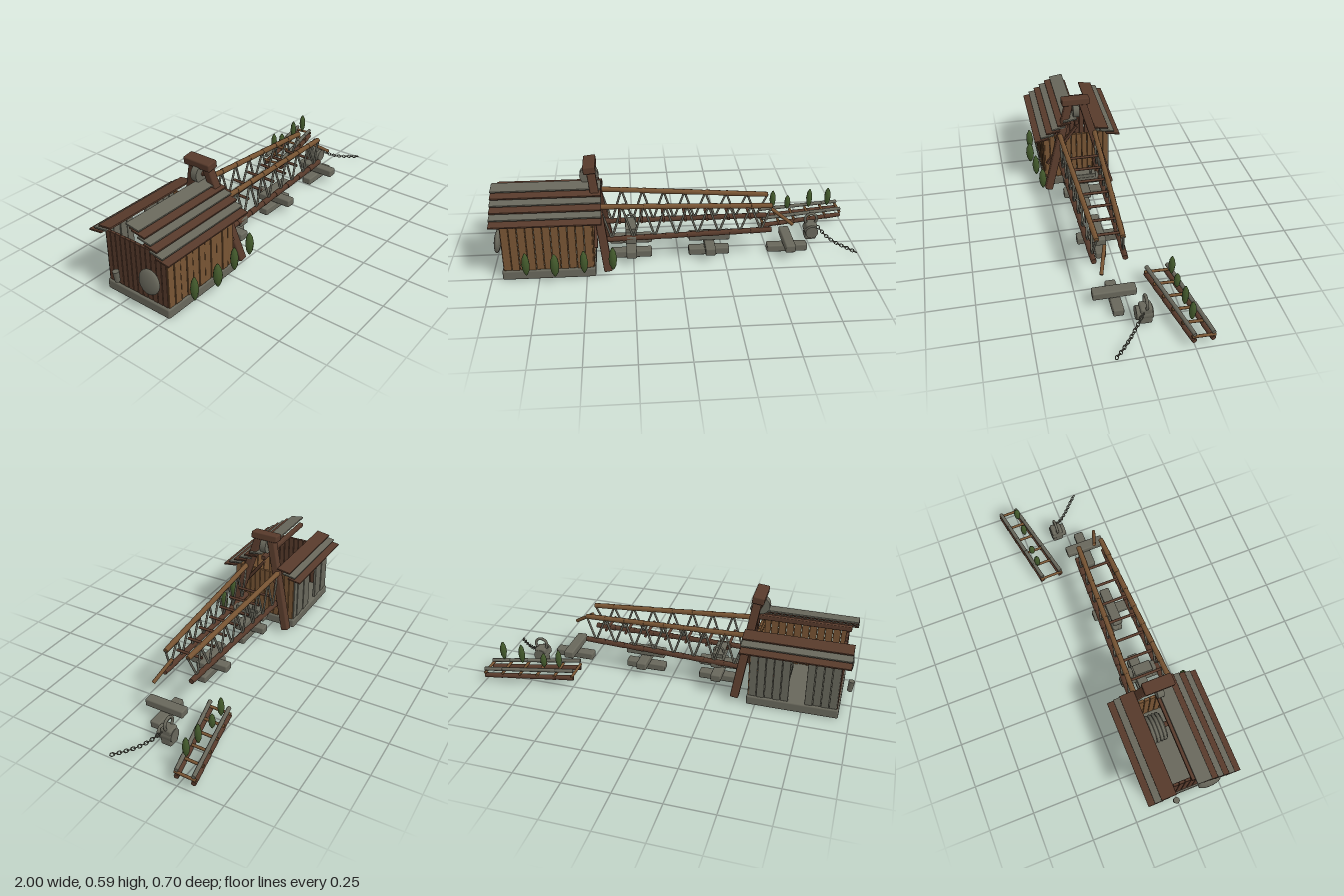
import * as THREE from 'three';
import { RoundedBoxGeometry } from 'three/addons/geometries/RoundedBoxGeometry.js';

const mat = (name, color) => {
  const m = new THREE.MeshStandardMaterial({ color });
  m.name = name;
  return m;
};

export function createModel() {
  const root = new THREE.Group();
  root.name = 'ruinedCrane';
  const wood = mat('wood', 0x775433);
  const darkWood = mat('darkWood', 0x573a2b);
  const stone = mat('weatheredGrey', 0x68675b);
  const leaf = mat('leafGreen', 0x435a2c);
  const V = (x, y, z) => new THREE.Vector3(x, y, z);
  const UP = V(0, 1, 0);

  const group = (name) => {
    const g = new THREE.Group();
    g.name = name;
    root.add(g);
    return g;
  };
  const add = (parent, name, geo, m, x = 0, y = 0, z = 0) => {
    const mesh = new THREE.Mesh(geo, m);
    mesh.name = name;
    mesh.position.set(x, y, z);
    parent.add(mesh);
    return mesh;
  };
  const box = (parent, name, m, w, h, d, x, y, z) =>
    add(parent, name, new RoundedBoxGeometry(w, h, d, 2, Math.min(w, h, d) * 0.18), m, x, y, z);
  // Aims a part that was built along y from one point to another
  const aim = (mesh, a, b) => {
    mesh.position.copy(a).lerp(b, 0.5);
    mesh.quaternion.setFromUnitVectors(UP, b.clone().sub(a).normalize());
    return mesh;
  };
  const rod = (parent, name, m, a, b, r, r2 = r) =>
    aim(add(parent, name, new THREE.CylinderGeometry(r2, r, a.distanceTo(b), 8), m), a, b);
  const beam = (parent, name, m, a, b, w, d) =>
    aim(box(parent, name, m, w, a.distanceTo(b), d, 0, 0, 0), a, b);
  // Log made of slightly stepped lengths
  const log = (parent, name, m, a, b, r, n) => {
    for (let i = 0; i < n; i++) {
      const p = a.clone().lerp(b, i / n), q = a.clone().lerp(b, (i + 1) / n);
      rod(parent, name, m, p, q, r * 1.06, r * 0.92);
    }
  };

  // Hut: slab and plank walls
  const hut = group('hut');
  box(hut, 'foundation', stone, 0.49, 0.055, 0.405, -0.697, 0.032, 0.0625);
  const wallY = (i) => 0.203 + (i % 3) * 0.0008;
  for (let i = 0; i < 11; i++) {
    const x = -0.911 + i * 0.0428;
    box(hut, 'frontPlank', wood, 0.0405, 0.285, 0.016, x, wallY(i), 0.253 + (i % 2) * 0.003);
    if (i !== 4 && i !== 5)
      box(hut, 'backPlank', stone, 0.0405, 0.285, 0.016, x, wallY(i), -0.126 - (i % 2) * 0.003);
  }
  for (let i = 0; i < 12; i++) {
    const z = -0.113 + i * 0.032;
    box(hut, 'rightPlank', wood, 0.016, 0.285, 0.03, -0.465, wallY(i), z);
    box(hut, 'leftPlank', darkWood, 0.016, 0.285, 0.03, -0.927, wallY(i), z);
  }

  // Roof: stepped boards, upper back ones missing
  const roof = group('roof');
  const board = (i, side) => {
    const z = 0.063 + side * (0.2115 - i * 0.034);
    const b = box(roof, 'roofBoard', i % 2 ? stone : darkWood, 0.57, 0.009, 0.081,
      -0.695, 0.352 + i * 0.0235, z);
    b.rotation.x = side * 0.15;
  };
  for (let i = 0; i < 6; i++) board(i, 1);
  for (let i = 0; i < 3; i++) board(i, -1);
  box(roof, 'ridgePole', darkWood, 0.52, 0.026, 0.026, -0.69, 0.44, 0.063);
  beam(roof, 'looseRafter', darkWood, V(-0.445, 0.17, 0.245), V(-0.445, 0.41, 0.063), 0.018, 0.018);

  // Winch drum inside the hut
  const winch = group('winch');
  const drum = add(winch, 'drum', new THREE.CylinderGeometry(0.07, 0.07, 0.13, 20), stone, -0.59, 0.17, 0);
  drum.rotation.x = Math.PI / 2;
  for (let i = 0; i < 6; i++)
    add(winch, 'ropeTurn', new THREE.TorusGeometry(0.071, 0.01, 6, 24), stone, -0.59, 0.17, -0.05 + i * 0.02);
  rod(winch, 'axle', darkWood, V(-0.59, 0.17, -0.11), V(-0.59, 0.17, 0.23), 0.015);

  // Items hanging on the left wall
  const wheel = add(hut, 'wallWheel', new THREE.SphereGeometry(0.065, 18, 10), stone, -0.962, 0.192, 0.17);
  wheel.scale.x = 0.3;
  wheel.rotation.z = -0.12;
  const bucket = add(hut, 'wallBucket', new THREE.CylinderGeometry(0.017, 0.014, 0.06, 10), stone, -0.983, 0.15, -0.025);
  bucket.rotation.z = 0.1;

  // Leaning A-frame with head pulley
  const frame = group('aFrame');
  beam(frame, 'frameLeg', darkWood, V(-0.385, 0.03, 0.25), V(-0.462, 0.57, 0.1), 0.045, 0.045);
  beam(frame, 'frameLeg', darkWood, V(-0.385, 0.03, -0.122), V(-0.462, 0.57, 0.028), 0.045, 0.045);
  box(frame, 'frameCap', darkWood, 0.065, 0.042, 0.162, -0.466, 0.569, 0.064).rotation.z = 0.12;
  const pulley = add(frame, 'headPulley', new THREE.CylinderGeometry(0.05, 0.05, 0.036, 20), stone, -0.47, 0.512, 0.064);
  pulley.rotation.x = Math.PI / 2;
  rod(frame, 'pulleyPin', darkWood, V(-0.47, 0.512, 0.035), V(-0.47, 0.512, 0.093), 0.012);

  // Boom: four tapering chords, zigzag lacing, cross rungs
  const boom = group('boom');
  const top = (t, s) => V(-0.42 + 0.92 * t, 0.372 - 0.048 * t, 0.0625 + s * (0.103 - 0.036 * t));
  const low = (t, s) => V(-0.42 + 0.92 * t, 0.173 + 0.013 * t, 0.0625 + s * (0.103 - 0.022 * t));
  for (const s of [-1, 1]) {
    log(boom, 'upperChord', wood, top(0, s), top(1, s), 0.015, 8);
    log(boom, 'lowerChord', darkWood, low(0, s), low(1, s), 0.016, 8);
    const n = 8;
    for (let i = 0; i < n; i++) {
      const a = i / n, m = (i + 0.5) / n, b = (i + 1) / n;
      rod(boom, 'lacing', stone, top(a, s), low(m, s), 0.006);
      rod(boom, 'lacing', stone, low(m, s), top(b, s), 0.006);
    }
  }
  for (let i = 0; i < 7; i++) {
    const t = 0.11 + i * 0.127;
    const a = top(t, 1).lerp(low(t, 1), 0.5), b = top(t, -1).lerp(low(t, -1), 0.5);
    rod(boom, 'crossRung', darkWood, a, b, 0.008);
  }
  rod(boom, 'brokenTip', wood, V(0.5, 0.288, 0.09), V(0.62, 0.203, 0.13), 0.01);

  // Stacked beam supports under the boom
  const supports = group('supports');
  [-0.26, 0.17, 0.61].forEach((x, i) => {
    box(supports, 'lowerSleeper', stone, 0.226, 0.042, 0.056, x, 0.028, 0.062);
    box(supports, 'crossSleeper', stone, 0.056, 0.044, 0.226, x, 0.073, 0.064);
    if (i < 2) box(supports, 'upperSleeper', stone, 0.226, 0.042, 0.056, x, 0.119, 0.062);
  });
  box(supports, 'topCrossSleeper', stone, 0.058, 0.045, 0.226, -0.26, 0.165, 0.064);
  box(supports, 'topBlock', stone, 0.06, 0.025, 0.14, -0.26, 0.197, 0.06);
  add(supports, 'liftingRing', new THREE.TorusGeometry(0.026, 0.006, 6, 16), stone, -0.26, 0.215, 0.02);

  // Fallen boom section
  const wreck = group('fallenSection');
  const rail = (t, s, y) => V(0.5 + 0.49 * t, y, (s ? -0.24 : -0.13) - (s ? 0.095 : 0.112) * t);
  for (const s of [0, 1]) {
    log(wreck, 'greyRail', stone, rail(0, s, 0.104), rail(1, s, 0.09), 0.011, 5);
    log(wreck, 'darkRail', darkWood, rail(0, s, 0.058), rail(1, s, 0.05), 0.014, 5);
  }
  for (let i = 0; i < 6; i++) {
    const t = 0.01 + i * 0.196;
    rod(wreck, 'wreckRung', wood, rail(t, 0, 0.075).add(V(0, 0, 0.012)), rail(t, 1, 0.071).add(V(0, 0, -0.012)), 0.008);
  }

  // Counterweight block with shackle
  const weight = group('weight');
  box(weight, 'weightBody', stone, 0.066, 0.1, 0.064, 0.77, 0.06, -0.058);
  const boss = add(weight, 'weightBoss', new THREE.CylinderGeometry(0.036, 0.036, 0.085, 18), stone, 0.77, 0.065, -0.05);
  boss.rotation.x = Math.PI / 2;
  add(weight, 'shackle', new THREE.TorusGeometry(0.034, 0.008, 8, 20), stone, 0.77, 0.128, -0.058);

  // Chain trailing from the weight
  const path = new THREE.CatmullRomCurve3([
    V(0.81, 0.085, -0.035), V(0.85, 0.048, 0.005), V(0.9, 0.026, 0.05), V(0.95, 0.018, 0.095), V(0.985, 0.014, 0.13)]);
  const chain = group('chain');
  const count = 16;
  for (let i = 0; i < count; i++) {
    const u = i / (count - 1);
    const link = add(chain, 'chainLink', new THREE.TorusGeometry(0.0085, 0.0025, 6, 12).scale(1, 1.3, 1), stone);
    link.quaternion.setFromUnitVectors(UP, path.getTangentAt(u));
    link.rotateY(i % 2 ? 0 : Math.PI / 2);
    link.position.copy(path.getPointAt(u));
  }

  // Spindle-shaped shrubs
  const shrubs = group('shrubs');
  const shape = new THREE.LatheGeometry(
    [[0, -0.5], [0.1, -0.46], [0.28, -0.28], [0.36, 0], [0.28, 0.28], [0.1, 0.46], [0, 0.5]]
      .map(([r, y]) => new THREE.Vector2(r, y)), 9);
  const plants = [
    [-0.81, 0.125, 0.308, 0.135, 0.06], [-0.66, 0.122, 0.324, 0.135, 0.068],
    [-0.51, 0.125, 0.306, 0.135, 0.06], [-0.36, 0.125, 0.285, 0.135, 0.062],
    [0.58, 0.168, -0.24, 0.115, 0.05], [0.67, 0.145, -0.243, 0.09, 0.05],
    [0.8, 0.166, -0.245, 0.12, 0.05], [0.91, 0.17, -0.248, 0.115, 0.052]];
  for (const [x, y, z, h, w] of plants) add(shrubs, 'shrub', shape, leaf, x, y, z).scale.set(w, h, w);

  return root;
}
